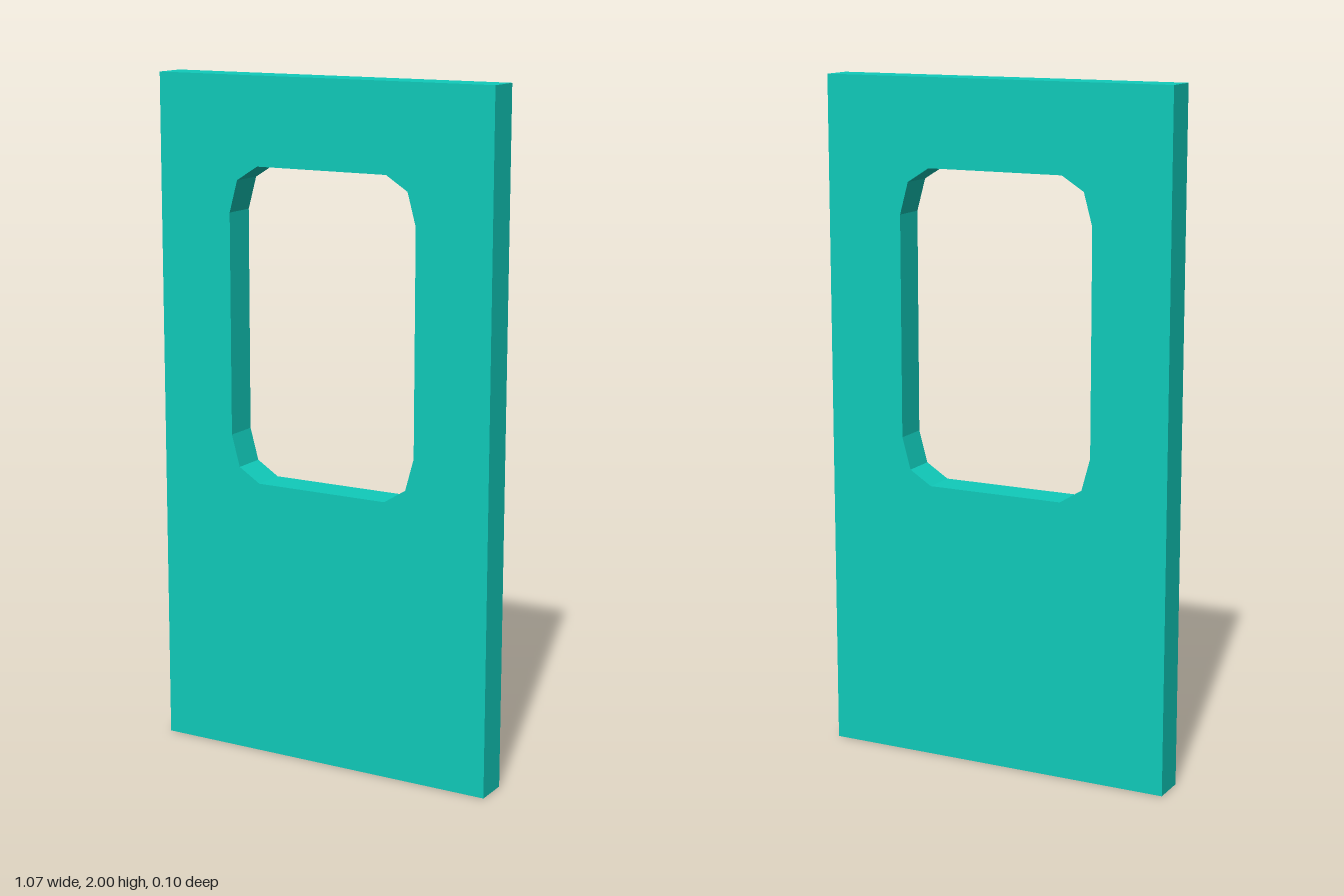
import * as THREE from 'three';

const WIDTH = 1.066, HEIGHT = 2, DEPTH = 0.102;
const WINDOW_Y = 1.285; // height of the window's centre

// One corner of the window, as offsets from its centre
const CORNER = [[0.3, 0.325], [0.274, 0.419], [0.207, 0.461]];

// Window outline: the corner mirrored into all four quadrants
function windowPath() {
  const points = [];
  for (const [sx, sy] of [[1, 1], [-1, 1], [-1, -1], [1, -1]]) {
    const corner = sx * sy > 0 ? CORNER : [...CORNER].reverse();
    for (const [x, y] of corner) points.push(new THREE.Vector2(sx * x, WINDOW_Y + sy * y));
  }
  return new THREE.Path(points);
}

export function createModel() {
  const group = new THREE.Group();
  group.name = 'door';

  // Flat slab with a chamfered window cut through it
  const w = WIDTH / 2;
  const outline = new THREE.Shape([
    new THREE.Vector2(-w, 0), new THREE.Vector2(w, 0),
    new THREE.Vector2(w, HEIGHT), new THREE.Vector2(-w, HEIGHT),
  ]);
  outline.holes.push(windowPath());

  const geometry = new THREE.ExtrudeGeometry(outline, { depth: DEPTH, bevelEnabled: false });
  geometry.translate(0, 0, -DEPTH / 2);

  const panel = new THREE.Mesh(
    geometry,
    new THREE.MeshStandardMaterial({ color: 0x10cbbb, flatShading: true })
  );
  panel.name = 'doorPanel';
  group.add(panel);
  return group;
}
